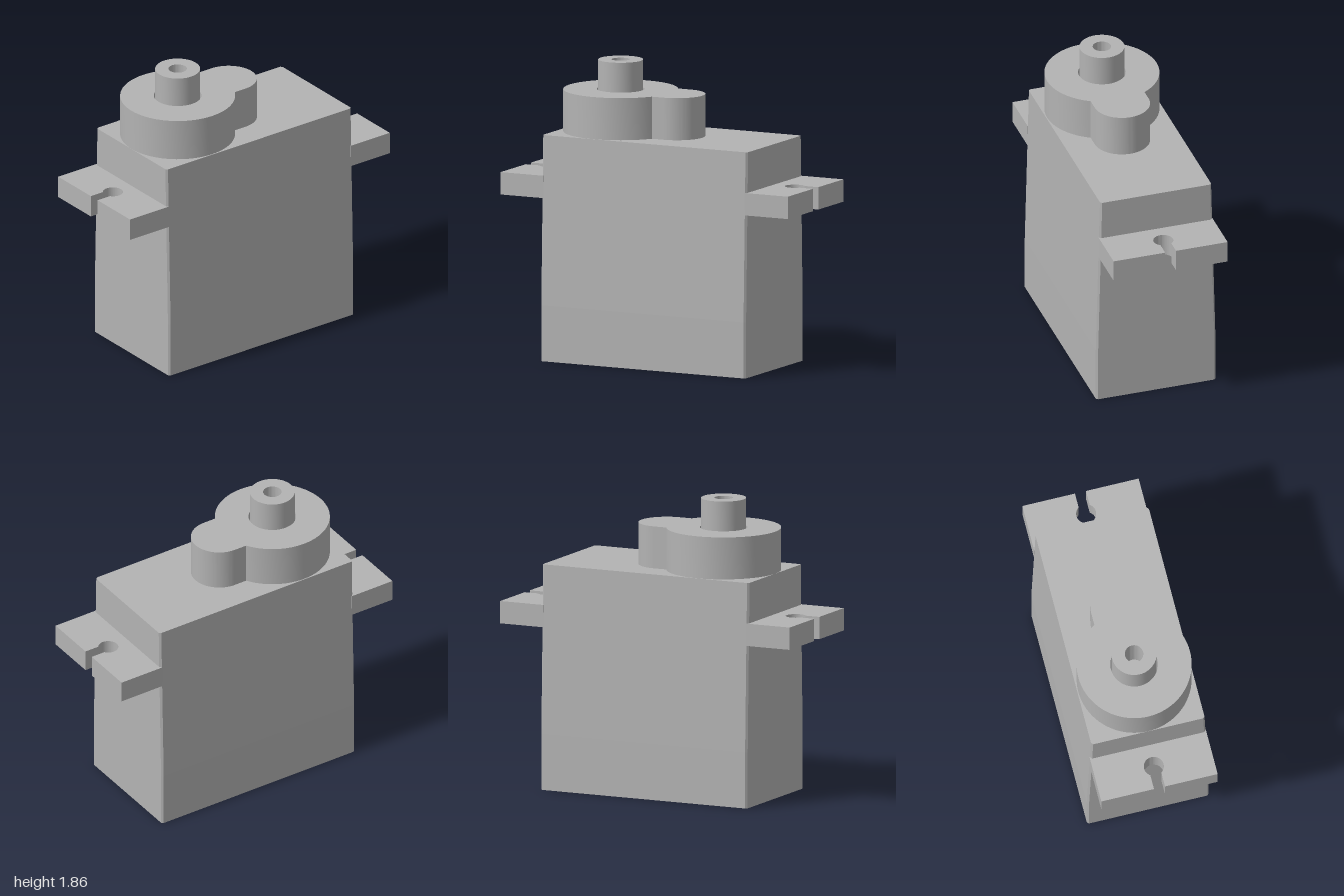
import * as THREE from 'three';
import { toCreasedNormals } from 'three/addons/utils/BufferGeometryUtils.js';

const grey = new THREE.MeshStandardMaterial({ color: 0xb3b3b3 });
grey.name = 'grey plastic';

// Shapes are drawn in plan (x, -z) and extruded upward from y0 to y1
function slab(shape, y0, y1, steps = 1) {
  const g = new THREE.ExtrudeGeometry(shape, { depth: y1 - y0, steps, bevelEnabled: false, curveSegments: 32 });
  g.rotateX(-Math.PI / 2);
  g.translate(0, y0, 0);
  return g;
}

function add(group, name, geometry) {
  const mesh = new THREE.Mesh(toCreasedNormals(geometry, 0.5), grey);
  mesh.name = name;
  group.add(mesh);
  return mesh;
}

function circleHole(x, y, r) {
  const p = new THREE.Path();
  p.absarc(x, y, r, 0, Math.PI * 2, true);
  return p;
}

// Case plan with finely chamfered corners
function casePlan() {
  const x = 0.713, z = 0.388, c = 0.012;
  return new THREE.Shape([
    [-x + c, -z], [x - c, -z], [x, -z + c], [x, z - c],
    [x - c, z], [-x + c, z], [-x, z - c], [-x, -z + c],
  ].map(([a, b]) => new THREE.Vector2(a, b)));
}

export function createModel() {
  const model = new THREE.Group();
  model.name = 'servoMotor';

  const plateTop = 0.05, caseTop = 1.41, taperStart = 0.35;

  // Bottom of the case with four screw wells
  const base = casePlan();
  for (const sx of [-1, 1]) for (const sz of [-1, 1]) {
    const x = sx * 0.618, z = sz * 0.277;
    base.holes.push(circleHole(x, -z, 0.063));
    const screw = new THREE.CylinderGeometry(0.053, 0.053, plateTop, 32);
    screw.translate(x, plateTop / 2, z);
    add(model, 'bottomScrew', screw);
  }
  add(model, 'caseBottom', slab(base, 0, plateTop));

  // Straight lower case, then an upper case narrowing front to back
  add(model, 'lowerCase', slab(casePlan(), plateTop, taperStart));
  const upper = slab(casePlan(), taperStart, caseTop);
  const p = upper.attributes.position;
  for (let i = 0; i < p.count; i++) {
    const t = (p.getY(i) - taperStart) / (caseTop - taperStart);
    p.setZ(i, p.getZ(i) * (1 - 0.07 * t));
  }
  upper.computeVertexNormals();
  add(model, 'upperCase', upper);

  // Mounting ears with keyhole slots
  const hx = 0.855, hr = 0.062, slot = 0.035, w = 0.37;
  const a = Math.asin(slot / hr);
  const ear = new THREE.Shape();
  ear.moveTo(0.7, -w);
  ear.lineTo(1, -w);
  ear.lineTo(1, -slot);
  ear.lineTo(hx + hr * Math.cos(a), -slot);
  ear.absarc(hx, 0, hr, -a, a - Math.PI * 2, true);
  ear.lineTo(1, slot);
  ear.lineTo(1, w);
  ear.lineTo(0.7, w);
  ear.closePath();
  add(model, 'leftEar', slab(ear, 1.017, 1.157));
  add(model, 'rightEar', slab(ear, 1.017, 1.157).rotateY(Math.PI));

  // Gear housing: large round boss joined to a small rounded lobe
  const cx = -0.357, R = 0.355, lobeX = 0.035, r = 0.175;
  const b = Math.asin(r / R);
  const housing = new THREE.Shape();
  housing.moveTo(lobeX, -r);
  housing.absarc(lobeX, 0, r, -Math.PI / 2, Math.PI / 2, false);
  housing.absarc(cx, 0, R, b, Math.PI * 2 - b, false);
  housing.closePath();
  housing.holes.push(circleHole(cx, 0, 0.147));
  add(model, 'gearHousing', slab(housing, caseTop, 1.673));

  // Output shaft with a blind screw hole
  const shaft = new THREE.LatheGeometry([
    [0.139, caseTop], [0.139, 1.858], [0.057, 1.858], [0.057, 1.6], [0, 1.6],
  ].map(([x, y]) => new THREE.Vector2(x, y)), 48);
  shaft.translate(cx, 0, 0);
  add(model, 'outputShaft', shaft);

  return model;
}
